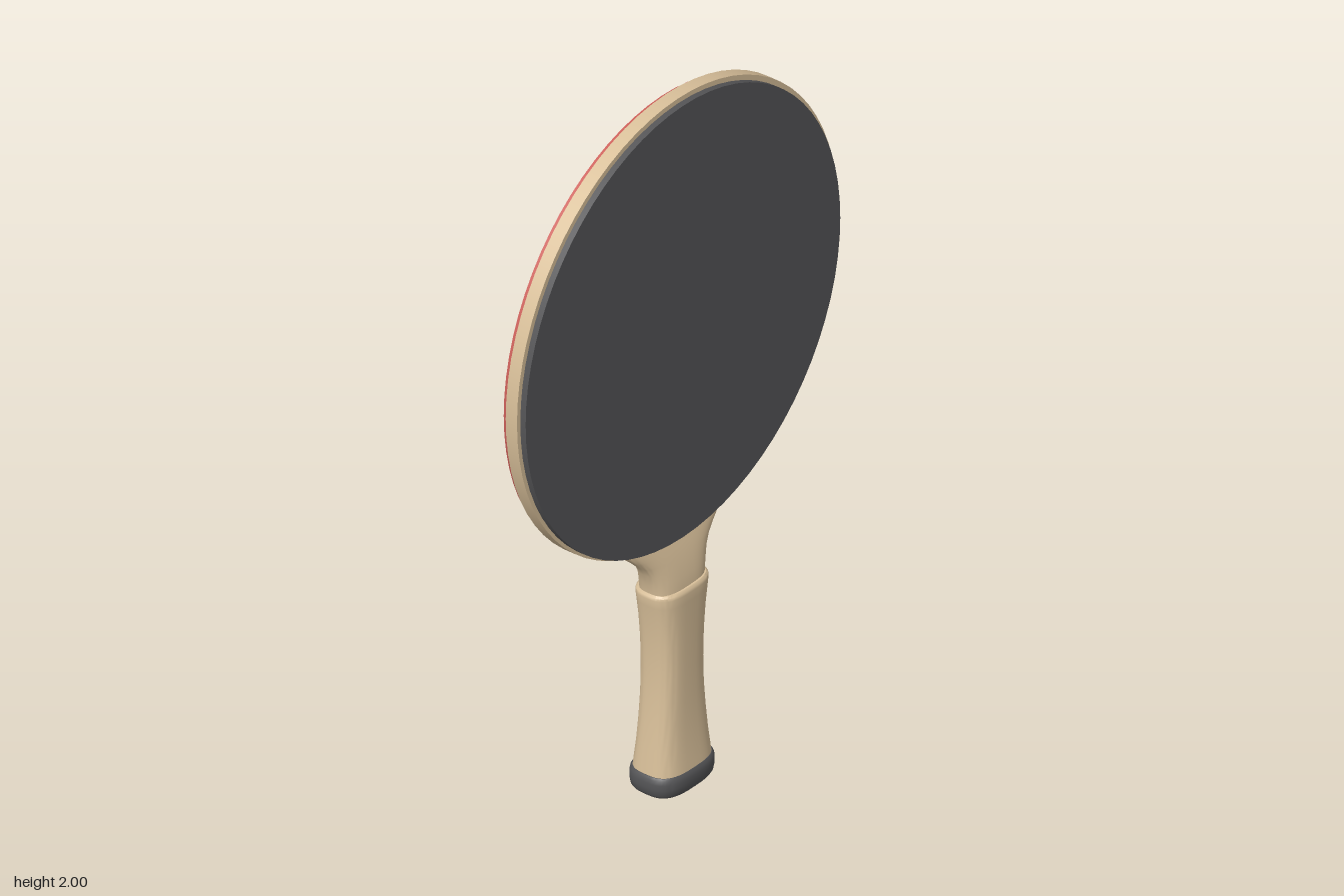
import * as THREE from 'three';
import { toCreasedNormals } from 'three/addons/utils/BufferGeometryUtils.js';

// Lofts rounded-rectangle sections [y, halfWidth, halfDepth] from bottom to top, with closed ends.
function loft(sections, power = 3, sides = 48) {
  const pos = [], idx = [];
  const soft = (v) => Math.sign(v) * Math.pow(Math.abs(v), 2 / power);
  for (const [y, w, d] of sections) {
    for (let i = 0; i < sides; i++) {
      const a = (i / sides) * Math.PI * 2;
      pos.push(w * soft(Math.cos(a)), y, d * soft(Math.sin(a)));
    }
  }
  const rows = sections.length;
  for (let r = 0; r < rows - 1; r++) {
    for (let i = 0; i < sides; i++) {
      const j = (i + 1) % sides;
      const a = r * sides + i, b = r * sides + j, c = a + sides, e = b + sides;
      idx.push(a, c, b, b, c, e);
    }
  }
  const bottom = pos.length / 3, top = bottom + 1, last = (rows - 1) * sides;
  pos.push(0, sections[0][0], 0, 0, sections[rows - 1][0], 0);
  for (let i = 0; i < sides; i++) {
    const j = (i + 1) % sides;
    idx.push(bottom, i, j, top, last + j, last + i);
  }
  const geo = new THREE.BufferGeometry();
  geo.setAttribute('position', new THREE.Float32BufferAttribute(pos, 3));
  geo.setIndex(idx);
  return toCreasedNormals(geo, 0.7);
}

// Flat oval plate spanning z0 to z1.
function ovalPlate(rx, ry, cy, z0, z1) {
  const geo = new THREE.CylinderGeometry(1, 1, z1 - z0, 72);
  geo.rotateX(Math.PI / 2);
  geo.scale(rx, ry, 1);
  geo.translate(0, cy, (z0 + z1) / 2);
  return geo;
}

export function createModel() {
  const group = new THREE.Group();
  const wood = new THREE.MeshStandardMaterial({ color: 0xd9c09a });
  const black = new THREE.MeshStandardMaterial({ color: 0x555557 });
  const red = new THREE.MeshStandardMaterial({ color: 0xcb5f59 });
  wood.name = 'pale wood';
  black.name = 'black rubber';
  red.name = 'red rubber';

  const add = (name, geometry, material) => {
    const mesh = new THREE.Mesh(geometry, material);
    mesh.name = name;
    group.add(mesh);
  };

  // Blade with a rubber sheet on each face
  add('blade', ovalPlate(0.625, 0.643, 1.357, -0.018, 0.018), wood);
  add('frontRubber', ovalPlate(0.612, 0.633, 1.353, 0.018, 0.035), black);
  add('backRubber', ovalPlate(0.612, 0.633, 1.353, -0.035, -0.018), red);

  // Neck flaring from the grip into the blade
  add('neck', loft([
    [0.56, 0.09, 0.056], [0.59, 0.093, 0.055], [0.62, 0.1, 0.051], [0.65, 0.11, 0.045],
    [0.675, 0.125, 0.039], [0.70, 0.15, 0.032], [0.725, 0.178, 0.024], [0.75, 0.205, 0.016],
  ]), wood);

  // Waisted grip
  add('grip', loft([
    [0.05, 0.105, 0.074], [0.08, 0.102, 0.071], [0.13, 0.096, 0.066], [0.2, 0.089, 0.062],
    [0.27, 0.083, 0.06], [0.35, 0.08, 0.06], [0.43, 0.082, 0.061], [0.5, 0.088, 0.063],
    [0.55, 0.095, 0.065], [0.575, 0.099, 0.066], [0.583, 0.098, 0.065], [0.588, 0.093, 0.06],
  ]), wood);

  // Rounded butt cap
  add('endCap', loft([
    [0, 0.096, 0.064], [0.004, 0.104, 0.072], [0.012, 0.109, 0.077], [0.03, 0.112, 0.08],
    [0.045, 0.112, 0.08], [0.056, 0.11, 0.078], [0.062, 0.106, 0.074],
  ]), black);

  return group;
}
